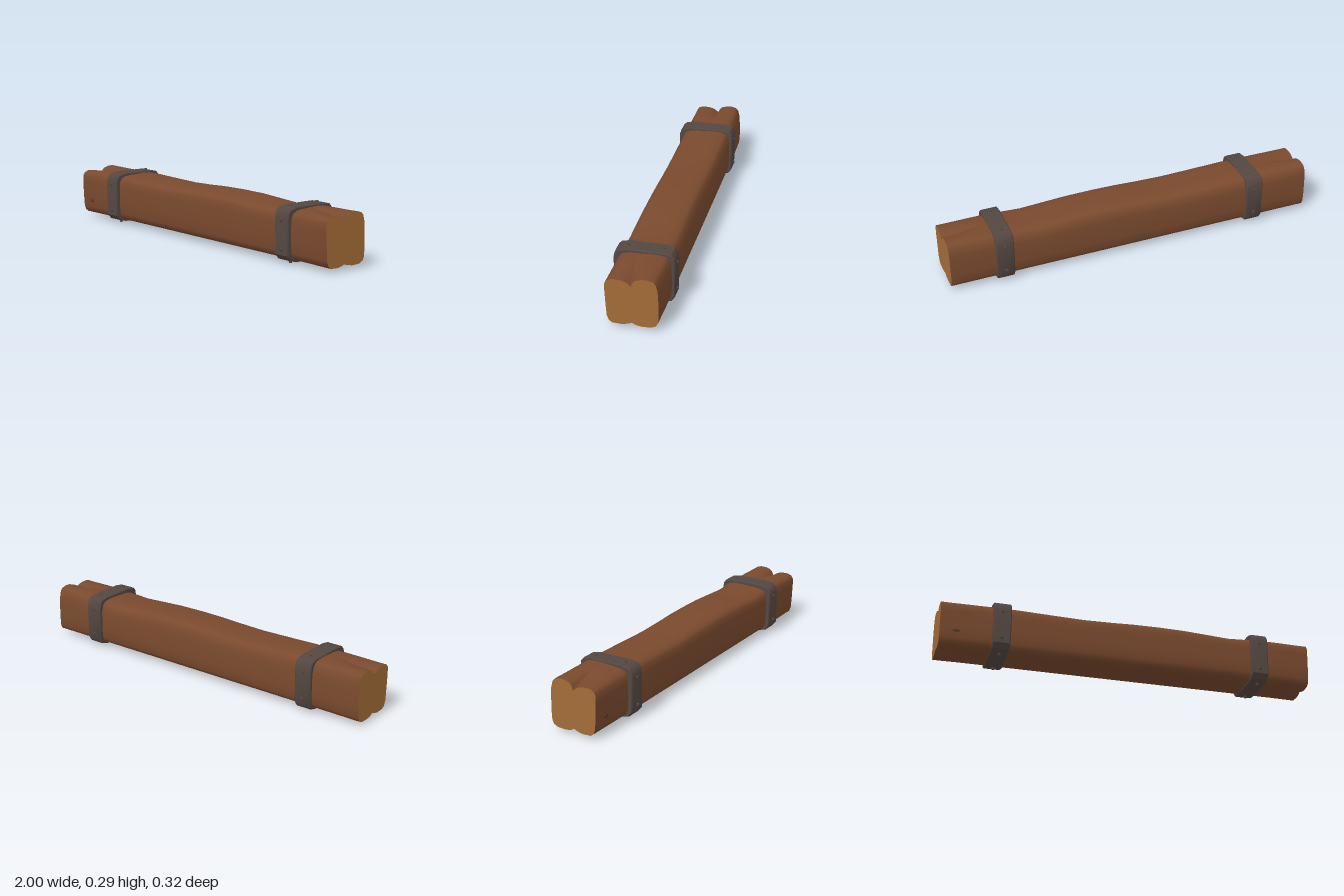
import * as THREE from 'three';
import { mergeVertices, toCreasedNormals } from 'three/addons/utils/BufferGeometryUtils.js';

const wood = new THREE.MeshStandardMaterial({ name: 'wood', color: 0x7a4a2e });
const cutWood = new THREE.MeshStandardMaterial({ name: 'cutWood', color: 0xa36c38 });
const iron = new THREE.MeshStandardMaterial({ name: 'iron', color: 0x544742 });
const knotWood = new THREE.MeshStandardMaterial({ name: 'knotWood', color: 0x553a2c });

// Cross-sections as [-z, y], counter-clockwise seen from +x, starting at the bottom middle.
const splitEnd = [
  [0, 0.034], [0.02, 0.023], [0.05, 0.018], [0.095, 0.02], [0.118, 0.031], [0.128, 0.05],
  [0.131, 0.1], [0.13, 0.16], [0.127, 0.22], [0.118, 0.255], [0.105, 0.27], [0.08, 0.277],
  [0.05, 0.276], [0.02, 0.267], [0.006, 0.252], [0, 0.23], [-0.01, 0.241], [-0.03, 0.254],
  [-0.055, 0.261], [-0.095, 0.262], [-0.118, 0.253], [-0.129, 0.235], [-0.13, 0.2],
  [-0.126, 0.12], [-0.122, 0.06], [-0.112, 0.033], [-0.095, 0.021], [-0.05, 0.019], [-0.02, 0.025],
];
const solidMiddle = [
  [0, 0.02], [0.025, 0.02], [0.055, 0.02], [0.095, 0.022], [0.12, 0.033], [0.133, 0.055],
  [0.137, 0.1], [0.137, 0.16], [0.135, 0.215], [0.125, 0.25], [0.108, 0.266], [0.08, 0.272],
  [0.05, 0.273], [0.025, 0.273], [0.01, 0.272], [0, 0.272], [-0.012, 0.271], [-0.03, 0.27],
  [-0.055, 0.269], [-0.09, 0.265], [-0.115, 0.254], [-0.127, 0.235], [-0.13, 0.2],
  [-0.13, 0.12], [-0.127, 0.06], [-0.115, 0.034], [-0.095, 0.023], [-0.055, 0.02], [-0.025, 0.02],
];

// Stations along the beam: [x, rise of the top, amount of end split]
const stations = [
  [-1, 0, 1], [-0.95, 0, 0.82], [-0.9, 0.001, 0.5], [-0.85, 0.002, 0.2], [-0.78, 0.003, 0],
  [-0.6, 0.004, 0], [-0.42, -0.001, 0], [-0.25, -0.005, 0], [-0.08, 0, 0], [0.02, 0.005, 0],
  [0.15, 0.007, 0], [0.3, 0.005, 0], [0.42, -0.002, 0], [0.55, -0.01, 0], [0.65, -0.004, 0],
  [0.76, 0.002, 0], [0.84, 0.002, 0.15], [0.9, 0.001, 0.45], [0.95, 0, 0.8], [1, 0, 1],
];

function ringAt([x, rise, split]) {
  return solidMiddle.map(([u, y], i) => {
    const [eu, ey] = splitEnd[i];
    const yy = y + (ey - y) * split + rise * Math.max(0, (y - 0.1) / 0.17);
    return [x, yy, -(u + (eu - u) * split)];
  });
}

function surface(positions, index) {
  const g = new THREE.BufferGeometry();
  g.setAttribute('position', new THREE.Float32BufferAttribute(positions.flat(), 3));
  g.setIndex(index);
  g.computeVertexNormals();
  return g;
}

function makeBeam() {
  const beam = new THREE.Group();
  beam.name = 'beam';
  const rings = stations.map(ringAt);
  const n = solidMiddle.length;

  // Long sides
  const index = [];
  for (let k = 0; k < rings.length - 1; k++) {
    for (let j = 0; j < n; j++) {
      const a = k * n + j, b = k * n + (j + 1) % n;
      index.push(a, b, a + n, b, b + n, a + n);
    }
  }
  const sides = new THREE.Mesh(surface(rings.flat(), index), wood);
  sides.name = 'beamSides';
  beam.add(sides);

  // Sawn ends
  for (const side of [-1, 1]) {
    const ring = side > 0 ? rings[rings.length - 1] : rings[0];
    const fan = [];
    for (let j = 0; j < n; j++) {
      const next = (j + 1) % n;
      fan.push(n, side > 0 ? j : next, side > 0 ? next : j);
    }
    const end = new THREE.Mesh(surface([...ring, [side, 0.14, 0]], fan), cutWood);
    end.name = side > 0 ? 'leftCutEnd' : 'rightCutEnd';
    beam.add(end);
  }

  // Small knot on the front
  const knot = new THREE.Mesh(new THREE.SphereGeometry(1, 10, 6), knotWood);
  knot.name = 'knot';
  knot.scale.set(0.02, 0.009, 0.003);
  knot.position.set(-0.915, 0.098, 0.126);
  beam.add(knot);
  return beam;
}

// Iron strap outline as [-z, y]
const strapOutline = [
  [-0.09, 0.012], [0.095, 0.012], [0.135, 0.022], [0.151, 0.046], [0.153, 0.22], [0.149, 0.26],
  [0.135, 0.277], [0.1, 0.285], [-0.09, 0.286], [-0.133, 0.277], [-0.147, 0.263], [-0.153, 0.235],
  [-0.15, 0.046], [-0.13, 0.022],
];

function makeBand(x) {
  const band = new THREE.Group();
  band.name = 'ironBand';
  const bevel = 0.005, width = 0.094;
  const points = (s) => strapOutline.map(([u, y]) => new THREE.Vector2(u * s, 0.149 + (y - 0.149) * s));
  const shape = new THREE.Shape(points(0.967));
  shape.holes.push(new THREE.Path(points(0.84)));
  let g = new THREE.ExtrudeGeometry(shape, {
    depth: width - 2 * bevel, bevelEnabled: true, bevelSize: bevel, bevelThickness: bevel, bevelSegments: 1,
  });
  g.translate(0, 0, bevel - width / 2);
  g.rotateY(Math.PI / 2);
  g.deleteAttribute('uv');
  g.deleteAttribute('normal');
  g = toCreasedNormals(mergeVertices(g), 0.6);
  const strap = new THREE.Mesh(g, iron);
  strap.name = 'strap';
  band.add(strap);

  // Two rivets on each of the four faces
  const rivetGeometry = new THREE.CylinderGeometry(0.007, 0.01, 0.016, 8);
  const addRivet = (y, z, rx) => {
    const rivet = new THREE.Mesh(rivetGeometry, iron);
    rivet.name = 'rivet';
    rivet.position.set(0, y, z);
    rivet.rotation.x = rx;
    band.add(rivet);
  };
  for (const z of [-0.089, 0.088]) {
    addRivet(0.284, z, 0);
    addRivet(0.009, z, Math.PI);
  }
  for (const y of [0.076, 0.221]) {
    addRivet(y, 0.153, Math.PI / 2);
    addRivet(y, -0.152, -Math.PI / 2);
  }
  band.position.x = x;
  return band;
}

export function createModel() {
  const model = new THREE.Group();
  model.name = 'bandedBeam';
  model.add(makeBeam(), makeBand(-0.685), makeBand(0.715));
  return model;
}
